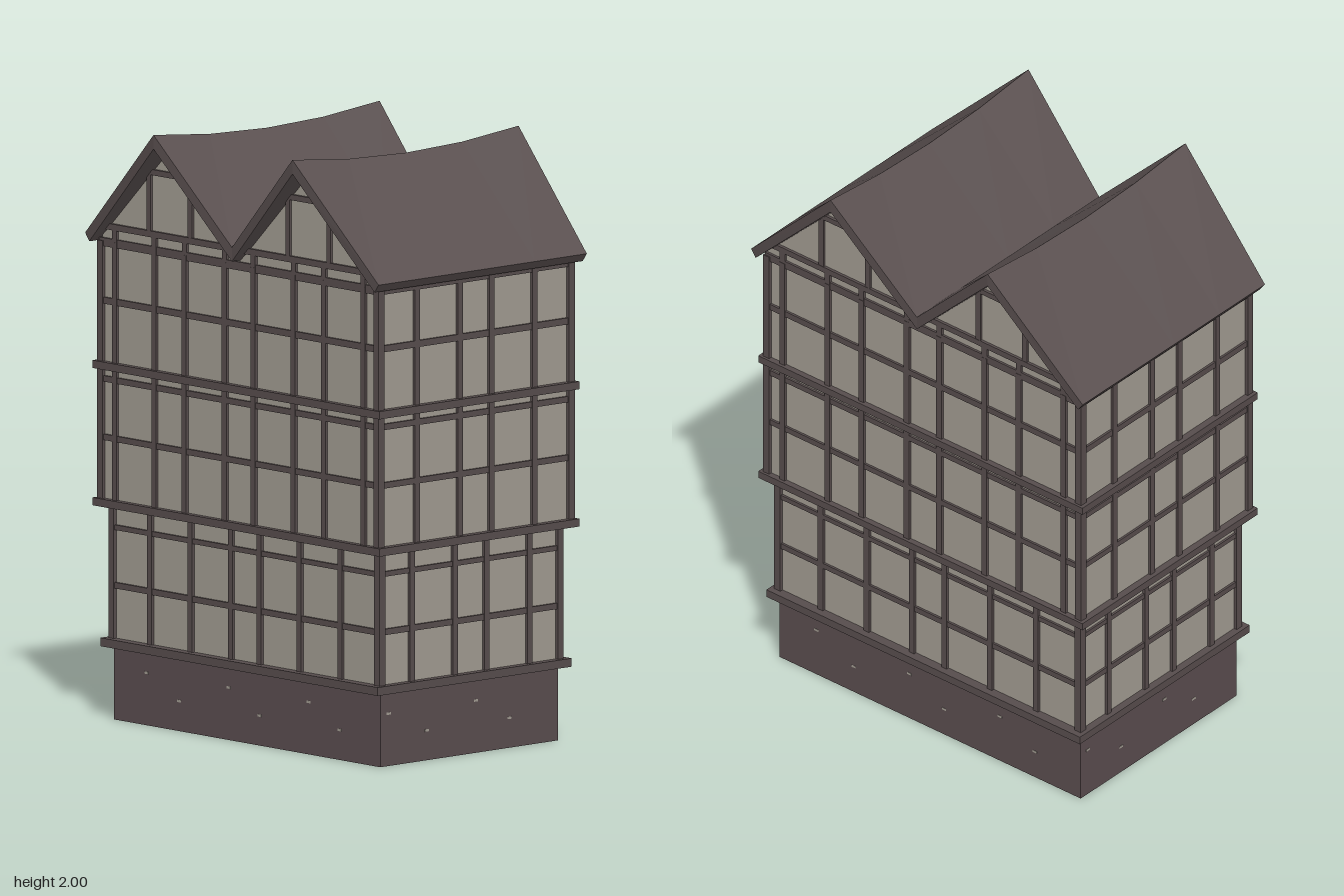
import * as THREE from 'three';

const plaster = new THREE.MeshStandardMaterial({ color: 0xa09a90, side: THREE.DoubleSide });
plaster.name = 'plaster';
const timber = new THREE.MeshStandardMaterial({ color: 0x564c4c });
timber.name = 'timber';
const plinthBrown = new THREE.MeshStandardMaterial({ color: 0x594c4e, side: THREE.DoubleSide });
plinthBrown.name = 'plinth brown';
const roofBrown = new THREE.MeshStandardMaterial({ color: 0x5b5151 });
roofBrown.name = 'roof brown';

const RIDGE_X = 0.338, PEAK = 2.0, EAVE_X = 0.714;

function add(parent, name, geometry, material, x = 0, y = 0, z = 0) {
  const mesh = new THREE.Mesh(geometry, material);
  mesh.name = name;
  mesh.position.set(x, y, z);
  parent.add(mesh);
  return mesh;
}

function box(parent, name, x0, x1, y0, y1, z0, z1, material = timber) {
  return add(parent, name, new THREE.BoxGeometry(x1 - x0, y1 - y0, z1 - z0), material,
    (x0 + x1) / 2, (y0 + y1) / 2, (z0 + z1) / 2);
}

// Four thin walls, open above and below
function walls(parent, name, hx, hz, y0, y1, material) {
  for (const s of [1, -1]) {
    const front = add(parent, name, new THREE.PlaneGeometry(2 * hx, y1 - y0), material, 0, (y0 + y1) / 2, s * hz);
    const side = add(parent, name, new THREE.PlaneGeometry(2 * hz, y1 - y0), material, s * hx, (y0 + y1) / 2, 0);
    if (s < 0) front.rotation.y = Math.PI;
    side.rotation.y = s * Math.PI / 2;
  }
}

// Rectangular ring of beams; hx and hz are its outer half sizes
function ring(parent, name, hx, hz, y0, y1, depth) {
  for (const s of [1, -1]) {
    const zs = [s * hz, s * (hz - depth)].sort((a, b) => a - b);
    const xs = [s * hx, s * (hx - depth)].sort((a, b) => a - b);
    box(parent, name, -hx, hx, y0, y1, zs[0], zs[1]);
    box(parent, name, xs[0], xs[1], y0, y1, -hz + depth, hz - depth);
  }
}

// One timber-framed storey: plaster, corner posts, studs and rails
function storey(name, hx, hz, y0, y1, frontStuds, sideStuds, rails) {
  const g = new THREE.Group();
  g.name = name;
  walls(g, 'plasterWall', hx - 0.012, hz - 0.012, y0, y1, plaster);
  const w = 0.011, d = 0.026, c = 0.026;
  for (const sx of [1, -1]) for (const sz of [1, -1]) {
    add(g, 'cornerPost', new THREE.BoxGeometry(c, y1 - y0, c), timber,
      sx * (hx - c / 2), (y0 + y1) / 2, sz * (hz - c / 2));
    for (const x of frontStuds)
      add(g, 'stud', new THREE.BoxGeometry(2 * w, y1 - y0, d), timber, sx * x, (y0 + y1) / 2, sz * (hz - 0.002 - d / 2));
    for (const z of sideStuds)
      add(g, 'stud', new THREE.BoxGeometry(d, y1 - y0, 2 * w), timber, sx * (hx - 0.002 - d / 2), (y0 + y1) / 2, sz * z);
  }
  for (const [a, b] of rails) ring(g, 'rail', hx - 0.004, hz - 0.004, a, b, 0.022);
  return g;
}

// Double-pitched roof: zigzag section, sagging ridges, flared gable ends
function roof() {
  const t = 0.047;
  const valley = PEAK - RIDGE_X, eave = PEAK - (EAVE_X - RIDGE_X);
  const half = [[0, valley], [RIDGE_X, PEAK], [EAVE_X, eave]];
  const under = [[EAVE_X - 0.02, eave + 0.02 - t], [RIDGE_X, PEAK - t], [0, valley - t]];
  const right = [...half, ...under];
  const left = [...under.slice(0, 2).reverse(), ...half.slice(1).reverse()].map(([x, y]) => [-x, y]);
  const shape = new THREE.Shape([...right, ...left].map(p => new THREE.Vector2(...p)));
  const geo = new THREE.ExtrudeGeometry(shape, { depth: 2, steps: 4, bevelEnabled: false });
  const pos = geo.attributes.position;
  for (let i = 0; i < pos.count; i++) {
    const s = pos.getZ(i) - 1;
    const h = Math.max(0, 1 - Math.abs(Math.abs(pos.getX(i)) - RIDGE_X) / RIDGE_X);
    pos.setY(i, pos.getY(i) - 0.033 * h * (1 - s * s));
    pos.setZ(i, s * (0.465 + 0.04 * h));
  }
  geo.computeVertexNormals();
  const mesh = new THREE.Mesh(geo, [timber, roofBrown]);
  mesh.name = 'roof';
  return mesh;
}

// Twin gable wall with collar rails and short studs
function gable() {
  const g = new THREE.Group();
  g.name = 'gable';
  const top = PEAK - 0.04, z = 0.426, e = 0.673;
  const outline = [[-e, 1.59], [e, 1.59], [e, top - e + RIDGE_X], [RIDGE_X, top],
    [0, top - RIDGE_X], [-RIDGE_X, top], [-e, top - e + RIDGE_X]];
  add(g, 'gablePlaster', new THREE.ShapeGeometry(new THREE.Shape(outline.map(p => new THREE.Vector2(...p)))), plaster, 0, 0, z);
  box(g, 'gableRail', -0.66, 0.66, 1.64, 1.661, z - 0.012, z + 0.01);
  for (const s of [1, -1]) {
    const cx = s * RIDGE_X;
    box(g, 'collarRail', cx - 0.11, cx + 0.11, 1.848, 1.867, z - 0.012, z + 0.01);
    for (const d of [-0.1, 0.1]) box(g, 'gableStud', cx + d - 0.01, cx + d + 0.01, 1.66, 1.85, z - 0.012, z + 0.009);
    for (const x of [0.07, 0.265, 0.412, 0.605]) box(g, 'gableStud', s * x - 0.011, s * x + 0.011, 1.6, 1.65, z - 0.012, z + 0.009);
  }
  return g;
}

export function createModel() {
  const house = new THREE.Group();
  house.name = 'timberFramedHouse';

  // Hollow plinth with a few pale chips
  walls(house, 'plinth', 0.648, 0.397, 0, 0.25, plinthBrown);
  for (const s of [1, -1]) {
    for (const [x, y] of [[-0.49, 0.175], [-0.09, 0.175], [0.3, 0.175], [-0.33, 0.1], [0.06, 0.1], [0.45, 0.1]])
      add(house, 'plinthChip', new THREE.BoxGeometry(0.018, 0.008, 0.002), plaster, s * x, y, s * 0.397);
    for (const [z, y] of [[0.36, 0.175], [-0.03, 0.175], [0.19, 0.1], [-0.18, 0.1]])
      add(house, 'plinthChip', new THREE.BoxGeometry(0.002, 0.008, 0.018), plaster, s * 0.648, y, s * z);
  }

  // Storeys
  const upper = [0.07, 0.265, 0.412, 0.605], side = [0.07, 0.262];
  house.add(storey('groundStorey', 0.66, 0.411, 0.26, 0.725, [0.07, 0.265, 0.463], side, [[0.44, 0.46], [0.635, 0.652]]));
  house.add(storey('middleStorey', 0.685, 0.438, 0.73, 1.18, upper, side, [[0.935, 0.955], [1.13, 1.15]]));
  house.add(storey('upperStorey', 0.685, 0.438, 1.185, 1.6, upper, side, [[1.39, 1.412], [1.582, 1.61]]));

  // Sill and floor belts
  ring(house, 'sillBeam', 0.675, 0.433, 0.245, 0.273, 0.06);
  ring(house, 'floorBelt', 0.698, 0.447, 0.714, 0.74, 0.06);
  ring(house, 'floorBelt', 0.698, 0.447, 1.172, 1.198, 0.045);

  // Gables and roof
  const front = gable(), back = gable();
  back.rotation.y = Math.PI;
  house.add(front, back, roof());
  return house;
}
